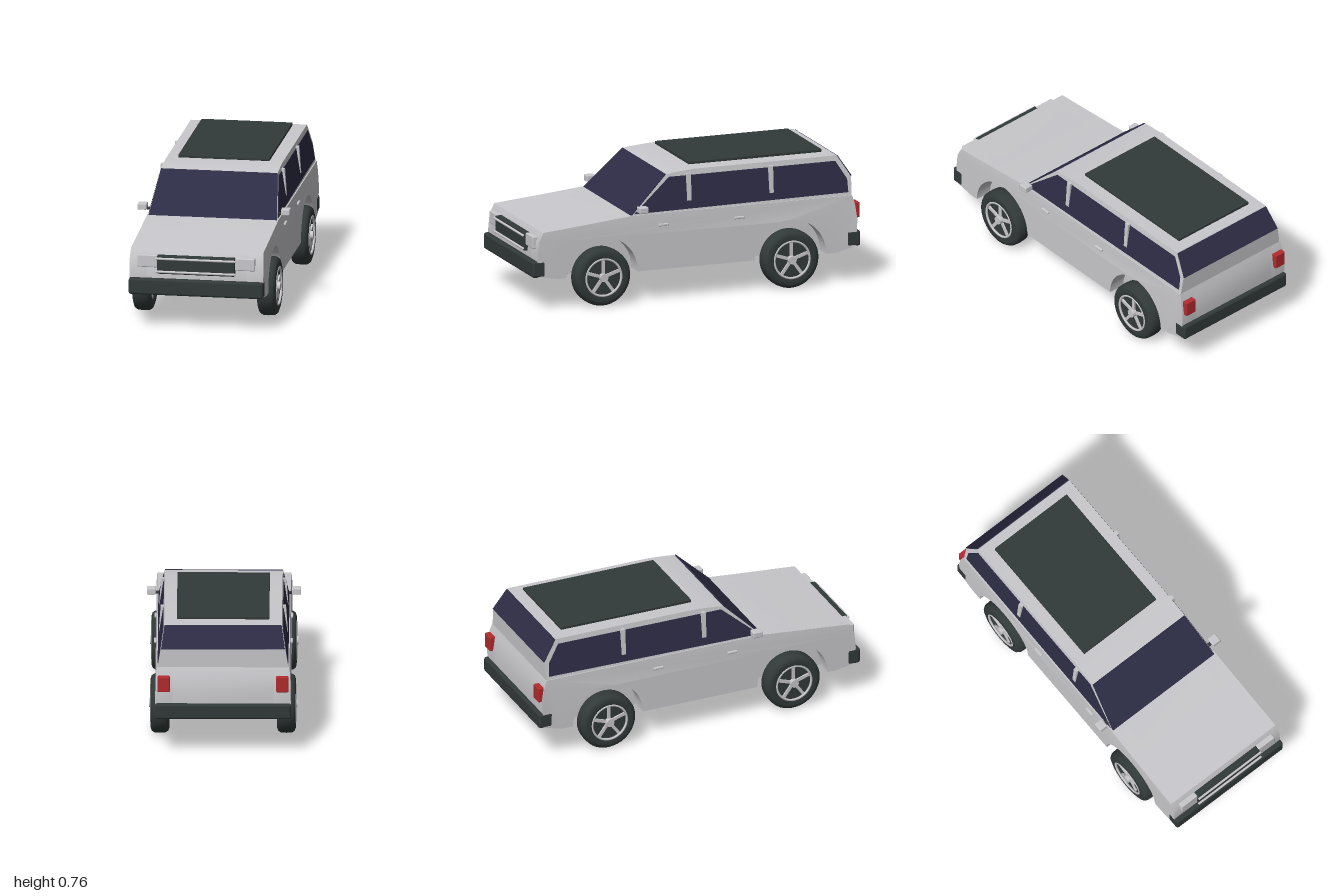
import * as THREE from 'three';
import { toCreasedNormals } from 'three/addons/utils/BufferGeometryUtils.js';
import { RoundedBoxGeometry } from 'three/addons/geometries/RoundedBoxGeometry.js';

const mat = (name, color) => {
  const m = new THREE.MeshStandardMaterial({ color });
  m.name = name;
  return m;
};

export function createModel() {
  const paint = mat('silver paint', 0xc9c9cd);
  const trim = mat('dark trim', 0x323a39);
  const glass = mat('tinted glass', 0x2d2c45);
  const red = mat('tail lamp red', 0xb32b2d);
  const car = new THREE.Group();
  car.name = 'car';

  const add = (name, geometry, material, parent = car) => {
    const m = new THREE.Mesh(geometry, material);
    m.name = name;
    parent.add(m);
    return m;
  };
  const box = (name, w, h, d, x, y, z, material, r = 0.006) => {
    const m = add(name, new RoundedBoxGeometry(w, h, d, 2, r), material);
    m.position.set(x, y, z);
    return m;
  };

  // Side outline of [z, y] points, spanning x from inner(y) to outer(y)
  const outline = (pts) => new THREE.Shape(pts.map(([z, y]) => new THREE.Vector2(-z, y)));
  const prism = (shape, inner, outer) => {
    const g = new THREE.ExtrudeGeometry(shape, { depth: 1, bevelEnabled: false, curveSegments: 32 });
    g.rotateY(Math.PI / 2);
    const p = g.attributes.position;
    for (let i = 0; i < p.count; i++) {
      const y = p.getY(i);
      p.setX(i, THREE.MathUtils.lerp(inner(y), outer(y), p.getX(i)));
    }
    g.computeVertexNormals();
    return toCreasedNormals(g, 0.45);
  };
  const across = (pts, half) => prism(outline(pts), (y) => -half(y), half);
  const onSide = (shape, s, inner, outer) =>
    s > 0 ? prism(shape, inner, outer) : prism(shape, (y) => -outer(y), (y) => -inner(y));

  // Lower body: narrow core between the wheel wells, with arched flanks
  const bodyHalf = (y) => 0.384 - Math.max(0, y - 0.4) * 0.07;
  const coreHalf = () => 0.285;
  const nose = [[0.96, 0.2], [0.967, 0.3], [0.957, 0.4], [0.93, 0.455], [0.65, 0.48], [0.39, 0.505]];
  const tail = [[-0.95, 0.505], [-0.967, 0.45], [-0.98, 0.36], [-0.97, 0.21], [-0.857, 0.18]];
  add('bodyCore', across([[0.848, 0.18], ...nose, ...tail], coreHalf), paint);
  const axleZ = 0.573, archR = 0.217;
  const flank = new THREE.Shape();
  flank.moveTo(-0.848, 0.18);
  for (const z of [axleZ, -axleZ]) {
    flank.lineTo(-z - archR, 0.18);
    flank.absarc(-z, 0.18, archR, Math.PI, 0, true);
  }
  [...tail].reverse().concat([...nose].reverse()).forEach(([z, y]) => flank.lineTo(-z, y));
  flank.closePath();

  // Cabin
  const cabinHalf = (y) => 0.371 - (y - 0.5) * 0.16;
  add('cabin', across([[0.39, 0.5], [0.166, 0.718], [0.12, 0.725], [0, 0.735], [-0.873, 0.735],
    [-0.953, 0.61], [-0.95, 0.5]], cabinHalf), paint);
  const glassHalf = (y) => cabinHalf(y) - 0.002;
  add('windshield', across([[0.38, 0.503], [0.395, 0.503], [0.17, 0.722], [0.162, 0.716]], glassHalf), glass);
  add('rearWindow', across([[-0.872, 0.73], [-0.88, 0.733], [-0.959, 0.613], [-0.95, 0.611]], glassHalf), glass);
  const sideWindow = outline([[0.372, 0.512], [0.15, 0.703], [-0.862, 0.705], [-0.927, 0.6], [-0.93, 0.523]]);

  // Roof panel
  box('roofPanel', 0.524, 0.017, 0.81, 0, 0.7525, -0.405, trim, 0.003);

  // Bumpers and grille
  box('frontBumper', 0.772, 0.095, 0.08, 0, 0.243, 0.956, trim, 0.014);
  box('rearBumper', 0.772, 0.09, 0.085, 0, 0.253, -0.9575, trim, 0.014);
  box('grille', 0.446, 0.105, 0.04, 0, 0.372, 0.966, trim);
  for (const y of [0.41, 0.334]) {
    const bar = add('grilleBar', new THREE.CapsuleGeometry(0.007, 0.446, 4, 10), paint);
    bar.rotation.z = Math.PI / 2;
    bar.position.set(0, y, 0.992);
  }

  for (const s of [1, -1]) {
    const side = s > 0 ? 'left' : 'right';
    add(side + 'Flank', onSide(flank, s, coreHalf, bodyHalf), paint);
    add(side + 'Windows', onSide(sideWindow, s, (y) => cabinHalf(y) - 0.002, (y) => cabinHalf(y) + 0.003), glass);
    for (const z of [0.035, -0.465]) {
      const post = outline([[z + 0.013, 0.56], [z + 0.013, 0.715], [z - 0.013, 0.715], [z - 0.013, 0.56]]);
      add(side + 'Pillar', onSide(post, s, (y) => cabinHalf(y) - 0.005, (y) => 0.366 - (y - 0.56) * 0.07), paint);
    }
    for (const z of [0.2, -0.26]) box(side + 'DoorHandle', 0.016, 0.014, 0.06, s * 0.385, 0.439, z, paint, 0.004);
    box(side + 'Headlight', 0.114, 0.072, 0.035, s * 0.28, 0.39, 0.96, paint);
    box(side + 'TailLamp', 0.07, 0.09, 0.035, s * 0.336, 0.415, -0.9815, red);
    box(side + 'Mirror', 0.052, 0.036, 0.056, s * 0.411, 0.543, 0.337, paint);
    box(side + 'MirrorArm', 0.04, 0.013, 0.02, s * 0.374, 0.531, 0.337, trim, 0.003);
  }

  // Wheels, built along y and turned outward
  const tyre = new THREE.LatheGeometry([[0.104, -0.046], [0.112, -0.052], [0.14, -0.053], [0.157, -0.047],
    [0.167, -0.032], [0.169, 0], [0.167, 0.032], [0.157, 0.047], [0.14, 0.053], [0.112, 0.052], [0.104, 0.046],
    [0.104, -0.046]].map(([r, y]) => new THREE.Vector2(r, y)), 40);
  const backDisc = new THREE.CylinderGeometry(0.105, 0.105, 0.01, 32).translate(0, -0.036, 0);
  const face = new THREE.CylinderGeometry(0.105, 0.105, 0.06, 32).translate(0, 0.004, 0);
  const rim = new THREE.TorusGeometry(0.107, 0.007, 8, 40).rotateX(Math.PI / 2).translate(0, 0.049, 0);
  const hub = new THREE.CylinderGeometry(0.024, 0.024, 0.034, 20).translate(0, 0.045, 0);
  const spoke = new THREE.BoxGeometry(0.09, 0.012, 0.018).translate(0.06, 0.038, 0);
  for (const s of [1, -1]) for (const z of [axleZ, -axleZ]) {
    const wheel = new THREE.Group();
    wheel.name = (z > 0 ? 'front' : 'rear') + (s > 0 ? 'Left' : 'Right') + 'Wheel';
    wheel.position.set(s * 0.358, 0.169, z);
    wheel.rotation.z = -s * Math.PI / 2;
    add('tyre', tyre, trim, wheel);
    add('wheelFace', face, trim, wheel);
    add('wheelBack', backDisc, paint, wheel);
    add('rim', rim, paint, wheel);
    add('hub', hub, paint, wheel);
    for (let i = 0; i < 5; i++) {
      // first spoke points straight up
      add('spoke', spoke, paint, wheel).rotation.y = (s > 0 ? Math.PI : 0) + i * Math.PI * 0.4;
    }
    car.add(wheel);
  }
  return car;
}
